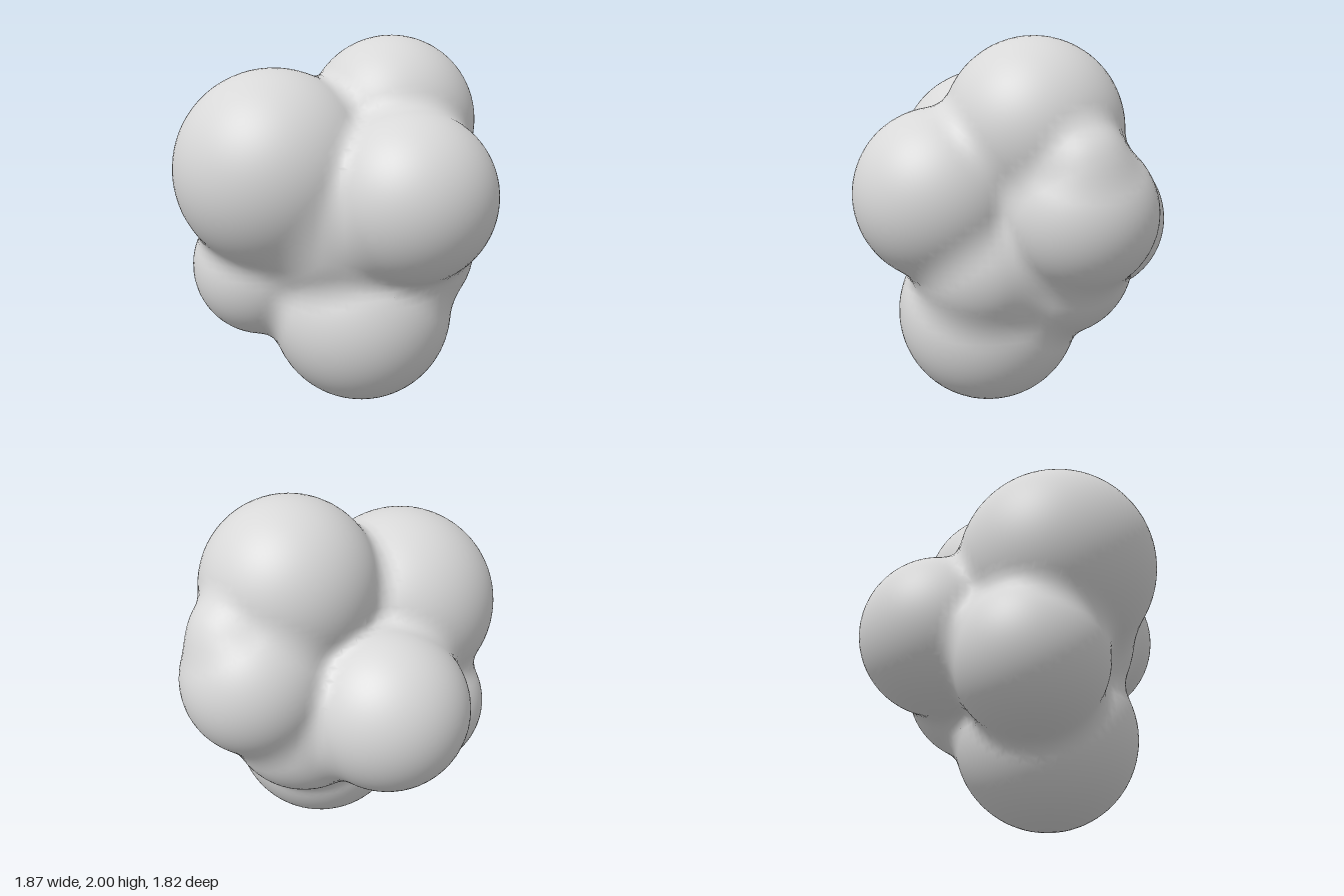
import * as THREE from 'three';

// Lobes of the cluster: centre x, y, z and radius
const LOBES = [
  [-0.405, 1.305, 0.05, 0.535], // upper right
  [0.28, 1.53, -0.01, 0.47],    // top
  [0.19, 1.2, 0.46, 0.45],      // front
  [0.04, 0.505, 0.17, 0.505],   // bottom
  [0.53, 1.13, -0.17, 0.4],     // left side
  [0.66, 1.39, -0.14, 0.2],     // small left bump
  [-0.05, 0.97, -0.48, 0.43],   // back
  [-0.44, 0.735, -0.12, 0.4],   // lower right
  [0.27, 0.84, -0.14, 0.42],    // core fill, back left
  [0.28, 0.85, 0.24, 0.37],     // core fill, front left
  [-0.08, 1.05, 0.12, 0.5],     // core fill, middle
];
const BLEND = 0.09;

// Signed distance to the softly merged lobes
function field(x, y, z) {
  let d = Infinity;
  for (const [cx, cy, cz, r] of LOBES) {
    const s = Math.hypot(x - cx, y - cy, z - cz) - r;
    const h = Math.max(BLEND - Math.abs(d - s), 0) / BLEND;
    d = Math.min(d, s) - h * h * BLEND / 4;
  }
  return d;
}

function gradient(p) {
  const e = 0.01;
  return new THREE.Vector3(
    field(p.x + e, p.y, p.z) - field(p.x - e, p.y, p.z),
    field(p.x, p.y + e, p.z) - field(p.x, p.y - e, p.z),
    field(p.x, p.y, p.z + e) - field(p.x, p.y, p.z - e)).normalize();
}

// Surface-net mesh: one vertex per crossed cell, one quad per crossed grid edge
function blobGeometry() {
  const n = 55, step = 0.04, origin = [-1.1, -0.1, -1.1];
  const id = (c) => c[0] + n * (c[1] + n * c[2]);
  const at = (c) => c.map((v, i) => origin[i] + v * step);
  const values = new Float32Array(n * n * n);
  const cells = [];
  for (let k = 0; k < n; k++) for (let j = 0; j < n; j++) for (let i = 0; i < n; i++) {
    const c = [i, j, k];
    values[id(c)] = field(...at(c));
    if (Math.max(i, j, k) < n - 1 && Math.min(i, j, k) > 0) cells.push(c);
  }

  const vertexOf = new Map(), positions = [], normals = [], indices = [];
  for (const c of cells) {
    let inside = 0;
    for (let m = 0; m < 8; m++) {
      if (values[id([c[0] + (m & 1), c[1] + (m >> 1 & 1), c[2] + (m >> 2)])] < 0) inside++;
    }
    if (inside === 0 || inside === 8) continue;
    // Start at the cell centre and slide onto the surface
    const p = new THREE.Vector3(...at(c)).addScalar(step / 2);
    for (let t = 0; t < 4; t++) p.addScaledVector(gradient(p), -field(p.x, p.y, p.z));
    vertexOf.set(id(c), positions.length / 3);
    positions.push(...p.toArray());
    normals.push(...gradient(p).toArray());
  }

  for (const c of cells) for (let axis = 0; axis < 3; axis++) {
    const next = [...c];
    next[axis]++;
    const a = values[id(c)] < 0, b = values[id(next)] < 0;
    if (a === b) continue;
    const u = (axis + 1) % 3, v = (axis + 2) % 3;
    const quad = [[0, 0], [1, 0], [1, 1], [0, 1]].map(([du, dv]) => {
      const q = [...c];
      q[u] -= du;
      q[v] -= dv;
      return vertexOf.get(id(q));
    });
    if (!a) quad.reverse();
    indices.push(quad[0], quad[1], quad[2], quad[0], quad[2], quad[3]);
  }

  const geometry = new THREE.BufferGeometry();
  geometry.setAttribute('position', new THREE.Float32BufferAttribute(positions, 3));
  geometry.setAttribute('normal', new THREE.Float32BufferAttribute(normals, 3));
  geometry.setIndex(indices);
  return geometry;
}

export function createModel() {
  const group = new THREE.Group();
  group.name = 'blobCluster';
  const grey = new THREE.MeshStandardMaterial({ color: 0xd8d8d8 });
  grey.name = 'light grey';
  const blob = new THREE.Mesh(blobGeometry(), grey);
  blob.name = 'mergedLobes';
  group.add(blob);
  return group;
}
